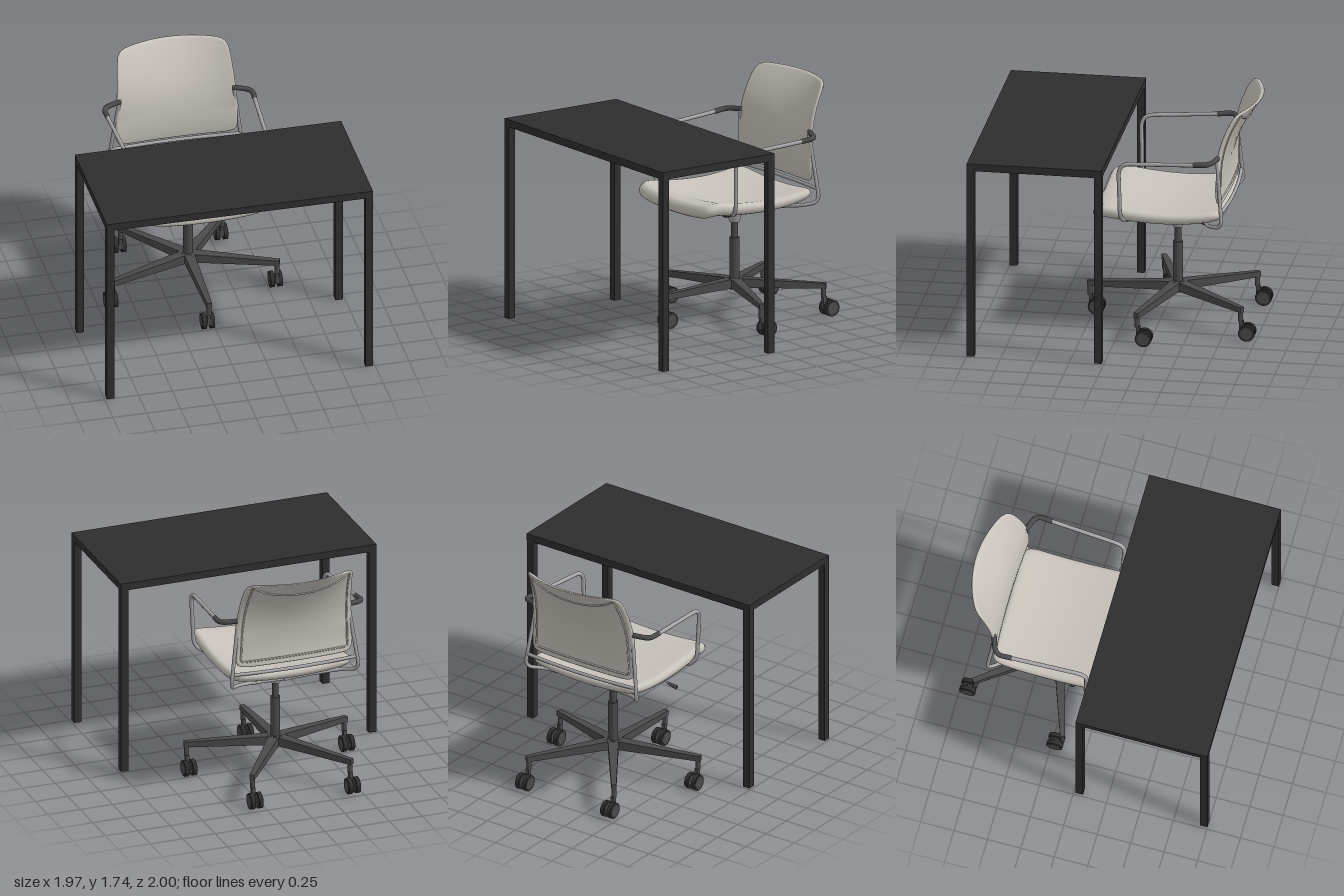
import * as THREE from 'three';
import { mergeVertices } from 'three/addons/utils/BufferGeometryUtils.js';

const mat = (color) => new THREE.MeshStandardMaterial({ color });
const DARK = mat(0x2e2e2e), PLASTIC = mat(0x4a4a4a), METAL = mat(0xa6a6a6), FABRIC = mat(0xc8c3bb);
const V = (x, y, z) => new THREE.Vector3(x, y, z);

function add(parent, name, geometry, material, x = 0, y = 0, z = 0) {
  const mesh = new THREE.Mesh(geometry, material);
  mesh.name = name;
  mesh.position.set(x, y, z);
  parent.add(mesh);
  return mesh;
}

// Straight runs joined by rounded bends
function bentTube(points, bend, radius, segments = 64) {
  const path = new THREE.CurvePath();
  let from = points[0];
  for (let i = 1; i < points.length - 1; i++) {
    const p = points[i];
    const reach = (q) => p.clone().lerp(q, Math.min(0.45, bend / p.distanceTo(q)));
    const a = reach(points[i - 1]), b = reach(points[i + 1]);
    path.add(new THREE.LineCurve3(from, a));
    path.add(new THREE.QuadraticBezierCurve3(a, p, b));
    from = b;
  }
  path.add(new THREE.LineCurve3(from, points[points.length - 1]));
  return new THREE.TubeGeometry(path, segments, radius, 10);
}

// Rounded square pad with soft rim; place(u, v, h) bends it into shape
function pad(power, rim, place) {
  const half = [[1 - rim, 1], [1 - rim * 0.5, 0.87], [1 - rim * 0.13, 0.5]];
  const inner = [0, 0.2, 0.4, 0.6, 0.75, 0.88].filter((r) => r < 1 - rim - 0.03).map((r) => [r, 1]);
  const top = [...inner, ...half];
  const profile = [...top.map(([r, h]) => [r, -h]), [1, 0], ...top.reverse()];
  let g = new THREE.LatheGeometry(profile.map(([r, h]) => new THREE.Vector2(r, h)), 128);
  const pos = g.attributes.position;
  for (let i = 0; i < pos.count; i++) {
    const x = pos.getX(i), h = pos.getY(i), z = pos.getZ(i), r = Math.hypot(x, z);
    const k = r < 1e-6 ? 0 : 1 / (Math.abs(x / r) ** power + Math.abs(z / r) ** power) ** (1 / power);
    const p = place(x * k, z * k, h);
    pos.setXYZ(i, p.x, p.y, p.z);
  }
  g.deleteAttribute('normal');
  g.deleteAttribute('uv');
  g = mergeVertices(g, 1e-5);
  g.computeVertexNormals();
  return g;
}

// Dished seat, raised at both ends and falling over the front edge
function seatPoint(u, v, h) {
  const w = v + 0.2;
  const lift = w > 0 ? 0.045 * w * w : 0.07 * w * w;
  const fall = 0.55 * Math.max(0, v - 0.7) ** 2;
  const thick = 0.042 + 0.006 * v;
  return V(u * 0.462, 0.955 + lift - fall - 0.035 * (1 - u * u) - thick + h * thick, -0.285 + v * 0.475);
}

// Backrest leaning rearwards, bowed more strongly towards the top
function backPoint(u, v, h) {
  const y = 1.385 + v * 0.355, t = y - 1.24;
  const width = 0.452 - 0.042 * Math.max(0, (v + 0.6) / 1.6) ** 1.5;
  const bow = 0.02 + 0.19 * Math.max(0, t);
  return V(u * width, y, -0.752 - 0.12 * t - 0.69 * t * t + bow * u * u + h * 0.014);
}

function buildDesk() {
  const desk = new THREE.Group();
  desk.name = 'desk';
  add(desk, 'deskTop', new THREE.BoxGeometry(1.97, 0.055, 0.985), DARK, 0, 1.45, 0.507);
  for (const x of [-0.957, 0.957]) for (const z of [0.043, 0.972])
    add(desk, 'deskLeg', new THREE.BoxGeometry(0.055, 1.425, 0.055), DARK, x, 0.7125, z);
  return desk;
}

function buildBase() {
  const base = new THREE.Group();
  base.name = 'swivelBase';
  base.position.z = -0.37;
  add(base, 'hub', new THREE.CylinderGeometry(0.055, 0.05, 0.08, 24), PLASTIC, 0, 0.25, 0);
  add(base, 'columnSleeve', new THREE.CylinderGeometry(0.036, 0.036, 0.37, 24), PLASTIC, 0, 0.405, 0);
  add(base, 'gasPiston', new THREE.CylinderGeometry(0.025, 0.025, 0.14, 24), PLASTIC, 0, 0.65, 0);
  add(base, 'columnSocket', new THREE.CylinderGeometry(0.062, 0.036, 0.09, 24), METAL, 0, 0.748, 0);
  add(base, 'mechanism', new THREE.BoxGeometry(0.175, 0.05, 0.175), METAL, 0, 0.812, 0);

  // Tapered arm: deep and wide at the hub, slim at the tip
  const arm = new THREE.BoxGeometry(1, 1, 0.66);
  const p = arm.attributes.position;
  for (let i = 0; i < p.count; i++) {
    const tip = p.getZ(i) > 0, up = p.getY(i) > 0;
    p.setXYZ(i, p.getX(i) * (tip ? 0.036 : 0.08), up ? (tip ? 0.25 : 0.292) : (tip ? 0.21 : 0.222), tip ? 0.66 : 0);
  }
  arm.computeVertexNormals();
  const wheel = new THREE.CylinderGeometry(0.06, 0.06, 0.03, 28).rotateZ(Math.PI / 2);
  const cap = new THREE.CylinderGeometry(0.045, 0.045, 0.036, 24).rotateZ(Math.PI / 2);
  for (let i = 0; i < 5; i++) {
    const a = (i * Math.PI * 2) / 5;
    add(base, 'baseArm', arm, PLASTIC).rotation.y = a;
    const caster = new THREE.Group();
    caster.name = 'caster';
    caster.position.set(Math.sin(a) * 0.64, 0, Math.cos(a) * 0.64);
    base.add(caster);
    add(caster, 'casterPost', new THREE.CylinderGeometry(0.018, 0.018, 0.08, 16), PLASTIC, 0, 0.18, 0);
    add(caster, 'casterFork', new THREE.BoxGeometry(0.026, 0.1, 0.03), PLASTIC, 0, 0.1, -0.008);
    add(caster, 'casterAxleBlock', new THREE.BoxGeometry(0.032, 0.03, 0.06), PLASTIC, 0, 0.065, -0.03);
    for (const s of [-1, 1]) {
      add(caster, 'casterWheel', wheel, DARK, s * 0.029, 0.062, -0.05);
      add(caster, 'casterWheelCap', cap, PLASTIC, s * 0.029, 0.062, -0.05);
    }
  }
  return base;
}

function buildChair() {
  const chair = new THREE.Group();
  chair.name = 'officeChair';
  chair.position.x = -0.055;
  chair.add(buildBase());
  add(chair, 'seat', pad(12, 0.09, seatPoint), FABRIC);
  add(chair, 'backrest', pad(14, 0.035, (u, v, h) => backPoint(u, -v, h)), FABRIC);

  // Raised seam on the rear of the backrest, dipping between its top corners
  const seam = [];
  for (let i = 0; i <= 16; i++) {
    const u = -0.9 + i * 0.1125;
    seam.push(backPoint(u, 0.66 + 0.26 * Math.abs(u / 0.9) ** 2.4, -1.1));
  }
  for (let i = 0; i <= 8; i++) seam.push(backPoint(0.9, 0.85 - i * 0.2125, -1.1));
  for (let i = 1; i < 12; i++) seam.push(backPoint(0.9 - i * 0.15, -0.87, -1.1));
  for (let i = 0; i <= 8; i++) seam.push(backPoint(-0.9, -0.85 + i * 0.2125, -1.1));
  add(chair, 'backSeam', new THREE.TubeGeometry(new THREE.CatmullRomCurve3(seam, true), 160, 0.007, 6, true), FABRIC);

  // Bar across the foot of the backrest
  const bar = new THREE.QuadraticBezierCurve3(V(-0.49, 0.99, -0.755), V(0, 0.985, -0.81), V(0.49, 0.99, -0.755));
  add(chair, 'lowerBackBar', new THREE.TubeGeometry(bar, 24, 0.013, 10), METAL);

  // Armrests and the tubes that run on beneath the seat
  for (const s of [-1, 1]) {
    const side = new THREE.Group();
    side.name = s > 0 ? 'leftArmFrame' : 'rightArmFrame';
    chair.add(side);
    const path = (list) => list.map(([x, y, z]) => V(s * x, y, z));
    add(side, 'armTube', bentTube(path([[0, 0.832, -0.12], [0.26, 0.845, -0.11], [0.495, 0.9, -0.03],
      [0.515, 1.345, -0.02], [0.545, 1.378, -0.59]]), 0.09, 0.015, 90), METAL);
    add(side, 'rearUpright', bentTube(path([[0.425, 1.392, -0.725], [0.495, 0.89, -0.77], [0.4, 0.86, -0.66],
      [0.26, 0.838, -0.61], [0, 0.832, -0.61]]), 0.07, 0.014, 80), METAL);
    add(side, 'armGrip', bentTube(path([[0.543, 1.377, -0.57], [0.552, 1.388, -0.69], [0.415, 1.4, -0.738]]),
      0.06, 0.019, 32), PLASTIC);
    add(side, 'seatRail', bentTube(path([[0.26, 0.845, -0.11], [0.2, 0.832, -0.36], [0.26, 0.838, -0.61]]),
      0.1, 0.013, 24), METAL);
    for (const z of [-0.11, -0.61])
      add(side, 'railClamp', new THREE.BoxGeometry(0.04, 0.03, 0.03), PLASTIC, s * 0.26, 0.842, z);
  }
  for (const z of [-0.2, -0.53])
    add(chair, 'mechanismStrut', new THREE.BoxGeometry(0.06, 0.018, 0.2), METAL, 0, 0.832, z);

  // Height lever with a thicker handle
  add(chair, 'lever', bentTube([V(-0.06, 0.8, -0.3), V(-0.09, 0.79, -0.155), V(-0.38, 0.74, -0.155)], 0.04, 0.007, 32), METAL);
  const grip = add(chair, 'leverHandle', new THREE.CylinderGeometry(0.01, 0.016, 0.075, 14), PLASTIC, -0.372, 0.738, -0.155);
  grip.rotation.z = -Math.PI / 2 + 0.17;
  return chair;
}

export function createModel() {
  const model = new THREE.Group();
  model.name = 'deskAndChair';
  model.add(buildDesk(), buildChair());
  return model;
}
